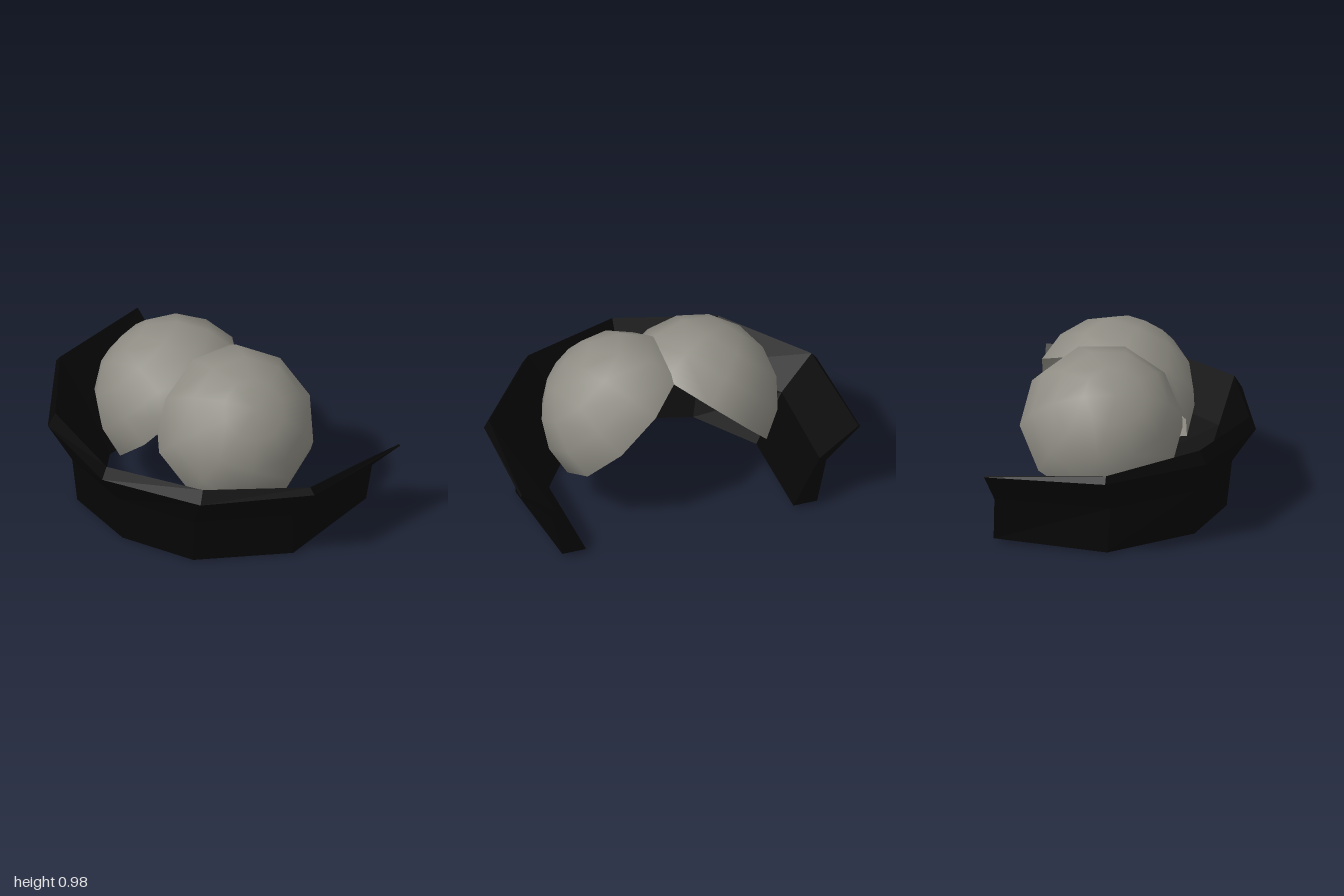
import * as THREE from 'three';

const black = new THREE.MeshStandardMaterial({ color: 0x060606 });
black.name = 'black';
const grey = new THREE.MeshStandardMaterial({ color: 0x8f8d84, side: THREE.DoubleSide });
grey.name = 'warm grey';

// Cross-sections of the band from the front centre round to the back tip.
// Corners: inner bottom, outer bottom, outer middle, flare, rim, inner middle.
const halfBand = [
  [[0, 0, 0.43], [0, 0.01, 0.515], [0, 0.28, 0.545], [0, 0.48, 0.68], [0, 0.55, 0.645], [0, 0.31, 0.51]],
  [[0.36, 0.01, 0.31], [0.44, 0.01, 0.41], [0.46, 0.28, 0.43], [0.58, 0.485, 0.5], [0.56, 0.56, 0.46], [0.43, 0.31, 0.395]],
  [[0.61, 0.01, -0.04], [0.8, 0.01, -0.02], [0.81, 0.28, 0], [0.98, 0.49, 0], [0.95, 0.53, 0], [0.77, 0.31, -0.01]],
  [[0.61, 0.03, -0.67], [0.75, 0.03, -0.67], [0.81, 0.29, -0.655], [1, 0.495, -0.68], [0.99, 0.5, -0.68], [0.77, 0.31, -0.655]],
];

function bandGeometry() {
  const mirrored = halfBand.slice(1).reverse().map((ring) => ring.map(([x, y, z]) => [-x, y, z]));
  const rings = [...mirrored, ...halfBand];
  const last = rings.length - 1;
  const positions = [];
  const tri = (a, b, c) => positions.push(...a, ...b, ...c);

  // Walls between neighbouring sections
  for (let i = 0; i < last; i++) {
    for (let k = 0; k < 6; k++) {
      const n = (k + 1) % 6;
      const a = rings[i][k], b = rings[i][n], c = rings[i + 1][n], d = rings[i + 1][k];
      tri(a, d, c);
      tri(a, c, b);
    }
  }
  // End faces, fanned from the outer middle corner
  for (let k = 0; k < 4; k++) {
    const p = (3 + k) % 6, q = (4 + k) % 6;
    tri(rings[0][2], rings[0][p], rings[0][q]);
    tri(rings[last][2], rings[last][q], rings[last][p]);
  }
  const geometry = new THREE.BufferGeometry();
  geometry.setAttribute('position', new THREE.Float32BufferAttribute(positions, 3));
  geometry.computeVertexNormals();
  return geometry;
}

// Hollow ten-sided half ball leaning outward, cut off at the middle plane
function domeGeometry(side) {
  const centre = new THREE.Vector3(side * 0.215, 0.525, -0.157);
  const pole = new THREE.Vector3(side * 0.65, 0.69, 0.3).normalize();
  const foot = new THREE.Vector3(side * 0.265, -0.345, 0.23);
  foot.addScaledVector(pole, -foot.dot(pole)).normalize();
  const across = new THREE.Vector3().crossVectors(foot, pole);
  const placed = new THREE.Matrix4().makeBasis(foot, pole, across).setPosition(centre);
  const ball = new THREE.SphereGeometry(0.462, 10, 4, 0, Math.PI * 2, 0, Math.PI / 2)
    .applyMatrix4(placed).toNonIndexed().getAttribute('position');

  const positions = [], normals = [];
  for (let i = 0; i < ball.count; i += 3) {
    const corners = [0, 1, 2].map((k) => new THREE.Vector3().fromBufferAttribute(ball, i + k));
    const kept = [];
    corners.forEach((p, k) => {
      const q = corners[(k + 1) % 3];
      if (p.x * side >= 0) kept.push(p);
      if (p.x * q.x < 0) kept.push(p.clone().lerp(q, p.x / (p.x - q.x)));
    });
    for (let k = 1; k < kept.length - 1; k++) {
      for (const p of [kept[0], kept[k], kept[k + 1]]) {
        positions.push(...p);
        normals.push(...p.clone().sub(centre).normalize());
      }
    }
  }
  const geometry = new THREE.BufferGeometry();
  geometry.setAttribute('position', new THREE.Float32BufferAttribute(positions, 3));
  geometry.setAttribute('normal', new THREE.Float32BufferAttribute(normals, 3));
  return geometry;
}

export function createModel() {
  const model = new THREE.Group();
  model.name = 'domesInBand';

  const band = new THREE.Mesh(bandGeometry(), black);
  band.name = 'band';
  model.add(band);

  for (const side of [-1, 1]) {
    const dome = new THREE.Mesh(domeGeometry(side), grey);
    dome.name = side > 0 ? 'leftDome' : 'rightDome';
    model.add(dome);
  }
  return model;
}
